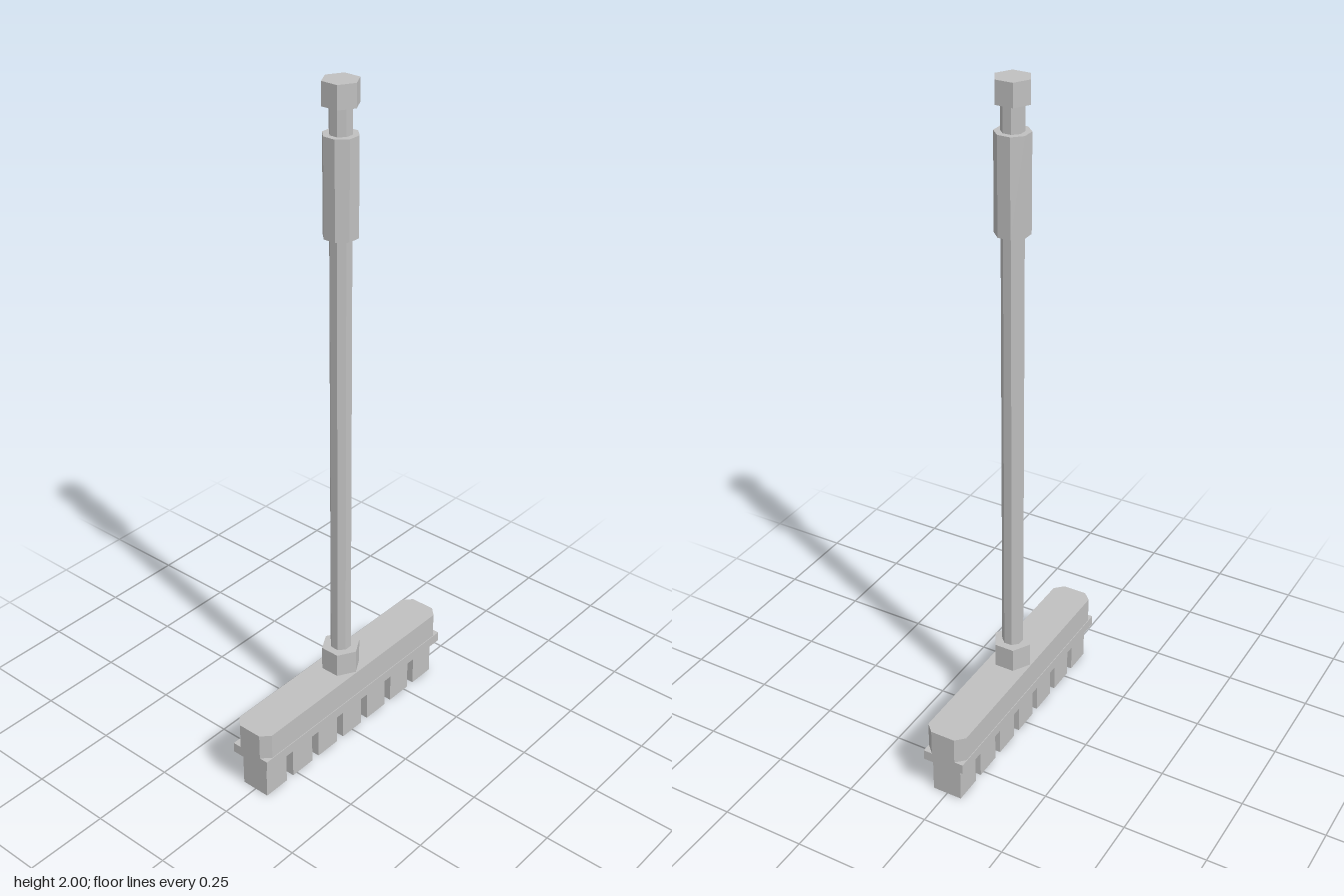
import * as THREE from 'three';

export function createModel() {
  const group = new THREE.Group();
  const grey = new THREE.MeshStandardMaterial({ color: 0xc0c0c0 });
  grey.name = 'grey';
  grey.flatShading = true;

  const add = (name, geometry, x, y, z) => {
    const mesh = new THREE.Mesh(geometry, grey);
    mesh.name = name;
    mesh.position.set(x, y, z);
    group.add(mesh);
    return mesh;
  };

  // Upright prism between two heights, corner radius r
  const prism = (name, r, sides, y0, y1, turn = 0) => {
    const geometry = new THREE.CylinderGeometry(r, r, y1 - y0, sides);
    geometry.rotateY(turn);
    return add(name, geometry, 0, (y0 + y1) / 2, 0);
  };

  // Handle: octagonal pole and grip, hexagonal cap and socket
  const flat = Math.PI / 8;
  prism('pole', 0.031, 8, 0.22, 1.95, flat);
  prism('grip', 0.0485, 8, 1.592, 1.863, flat);
  prism('endCap', 0.0505, 6, 1.937, 2);
  prism('socket', 0.058, 6, 0.215, 0.3);

  // Head block with chamfered upright corners
  const w = 0.395, d = 0.062, c = 0.025;
  const outline = new THREE.Shape([
    [-w + c, -d], [w - c, -d], [w, -d + c], [w, d - c],
    [w - c, d], [-w + c, d], [-w, d - c], [-w, -d + c],
  ].map(([x, y]) => new THREE.Vector2(x, y)));
  const block = new THREE.ExtrudeGeometry(outline, { depth: 0.08, bevelEnabled: false });
  block.rotateX(-Math.PI / 2);
  add('headBlock', block, 0, 0.146, 0);

  // Rim below the block
  add('headRim', new THREE.BoxGeometry(0.79, 0.031, 0.128), 0, 0.1305, 0);

  // Row of bristle tufts
  const tuft = new THREE.BoxGeometry(0.084, 0.116, 0.09);
  for (let i = -3; i <= 3; i++) add('bristleTuft', tuft, i * 0.112, 0.058, 0);

  return group;
}
